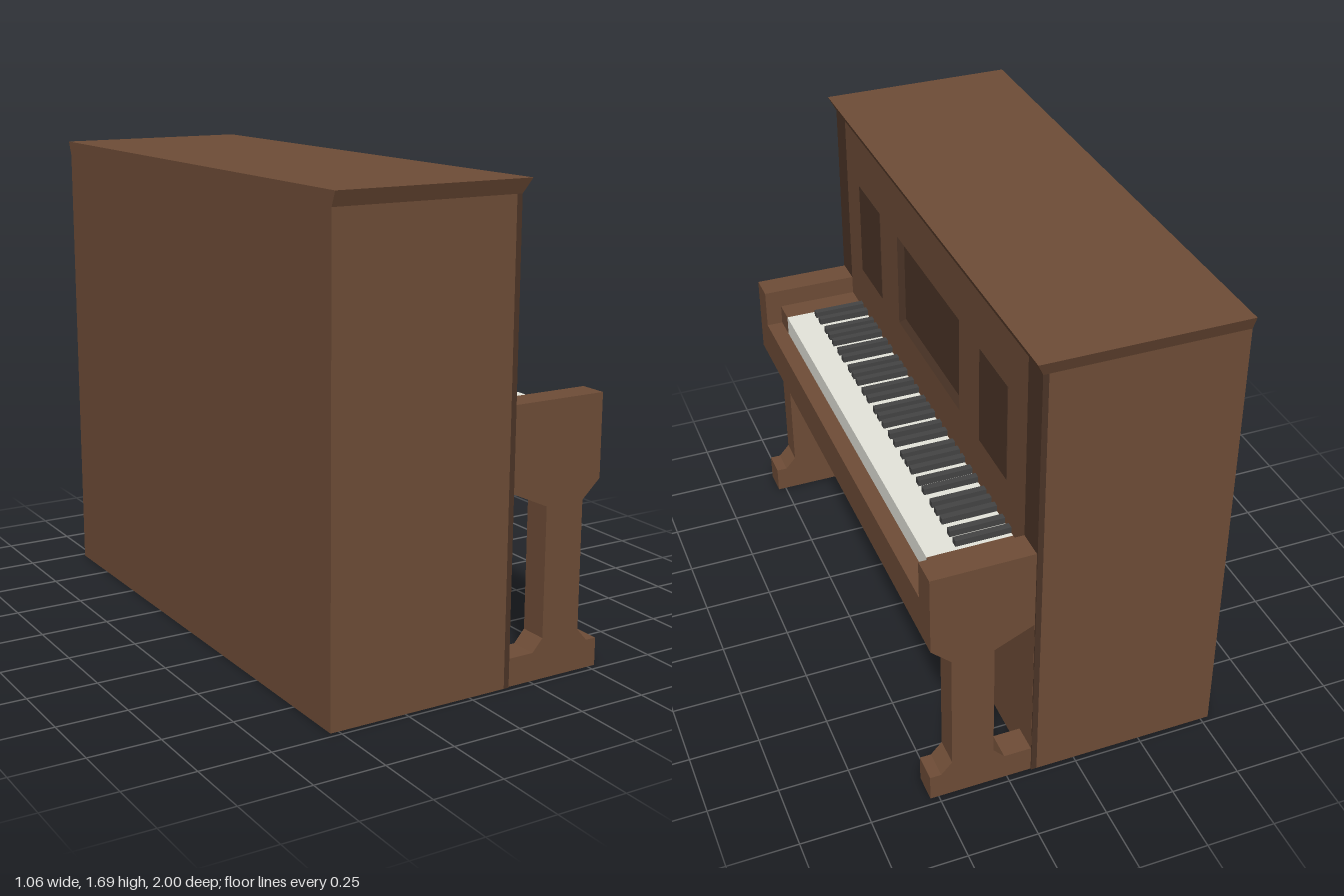
import * as THREE from 'three';

const mat = (color) => new THREE.MeshStandardMaterial({ color, flatShading: true });

export function createModel() {
  const piano = new THREE.Group();
  piano.name = 'uprightPiano';
  const wood = mat(0x6f4d37);
  const darkWood = mat(0x4c3527);
  const ivory = mat(0xe6e6dc);
  const ebony = mat(0x444444);

  const add = (name, geometry, material) => {
    const mesh = new THREE.Mesh(geometry, material);
    mesh.name = name;
    piano.add(mesh);
    return mesh;
  };
  // Box given by its lower and upper limits on each axis
  const box = (name, material, x0, x1, y0, y1, z0, z1) => {
    const mesh = add(name, new THREE.BoxGeometry(x1 - x0, y1 - y0, z1 - z0), material);
    mesh.position.set((x0 + x1) / 2, (y0 + y1) / 2, (z0 + z1) / 2);
    return mesh;
  };
  const shapeOf = (points) => new THREE.Shape(points.map(([x, y]) => new THREE.Vector2(x, y)));
  const rect = (w, y0, y1) => [[-w, y0], [w, y0], [w, y1], [-w, y1]];

  // Cabinet
  const back = -0.53, front = 0.16, plate = 0.02;
  box('cabinet', wood, back, front - plate, 0, 1.64, -0.98, 0.98);

  // Front board, with an opening for the music panel
  const outer = rect(0.305, 1.08, 1.44), inner = rect(0.28, 1.105, 1.415);
  const board = shapeOf(rect(0.875, 0, 1.64));
  board.holes.push(shapeOf(outer));
  const boardGeo = new THREE.ExtrudeGeometry(board, { depth: plate, bevelEnabled: false });
  boardGeo.rotateY(Math.PI / 2);
  add('frontBoard', boardGeo, wood).position.x = front - plate;

  // Sloping rim of the opening and its sunken panel
  const positions = [];
  for (let i = 0; i < 4; i++) {
    const j = (i + 1) % 4;
    const a = [front, outer[i][1], -outer[i][0]], b = [front, outer[j][1], -outer[j][0]];
    const c = [front - plate + 0.002, inner[j][1], -inner[j][0]];
    const d = [front - plate + 0.002, inner[i][1], -inner[i][0]];
    positions.push(...a, ...b, ...c, ...a, ...c, ...d);
  }
  const rim = new THREE.BufferGeometry();
  rim.setAttribute('position', new THREE.Float32BufferAttribute(positions, 3));
  rim.computeVertexNormals();
  add('musicPanelRim', rim, darkWood);
  box('musicPanel', darkWood, front - plate - 0.01, front - plate + 0.002, 1.1, 1.42, -0.285, 0.285);

  // Flared lid: the top edge spreads to the front and the sides
  const lid = new THREE.BoxGeometry(front - back, 0.05, 1.96);
  const p = lid.attributes.position;
  for (let i = 0; i < p.count; i++) {
    if (p.getY(i) < 0) continue;
    p.setZ(i, Math.sign(p.getZ(i)));
    if (p.getX(i) > 0) p.setX(i, p.getX(i) + 0.025);
  }
  lid.computeVertexNormals();
  add('lid', lid, wood).position.set((front + back) / 2, 1.665, 0);

  // Keybed and white keys
  box('keybed', wood, front, 0.52, 0.67, 0.82, -0.875, 0.875);
  box('whiteKeys', ivory, front, 0.46, 0.82, 0.895, -0.785, 0.785);

  // Arm, leg and foot share one outline
  const armOutline = shapeOf([
    [0.16, 0], [0.53, 0], [0.53, 0.1], [0.49, 0.1], [0.45, 0.145], [0.45, 0.605],
    [0.52, 0.67], [0.52, 0.965], [0.16, 0.965],
  ]);
  armOutline.holes.push(shapeOf([
    [0.161, 0.1], [0.26, 0.1], [0.3, 0.145], [0.3, 0.605], [0.161, 0.668],
  ]));
  const armGeo = new THREE.ExtrudeGeometry(armOutline, { depth: 0.1, bevelEnabled: false });

  for (const side of [-1, 1]) {
    const label = side > 0 ? 'left' : 'right';
    const span = (a, b) => (side > 0 ? [a, b] : [-b, -a]);
    add(label + 'ArmAndLeg', armGeo, wood).position.z = side > 0 ? 0.875 : -0.975;
    box(label + 'KeyBlock', wood, front, 0.46, 0.82, 0.895, ...span(0.785, 0.875));
    box(label + 'Pilaster', darkWood, front - plate, front, 0, 1.64, ...span(0.875, 0.98));
    box(label + 'InlaidPanel', darkWood, front - 0.01, front + 0.002, 1.08, 1.44, ...span(0.49, 0.725));
  }

  // Black keys in groups of two and three
  const offsets = [0, 0.053, 0.122, 0.17, 0.216];
  for (let i = 0; i < 27; i++) {
    const z = -0.758 + Math.floor(i / 5) * 0.291 + offsets[i % 5];
    box('blackKey', ebony, front, 0.355, 0.89, 0.918, z - 0.012, z + 0.012);
  }
  return piano;
}
